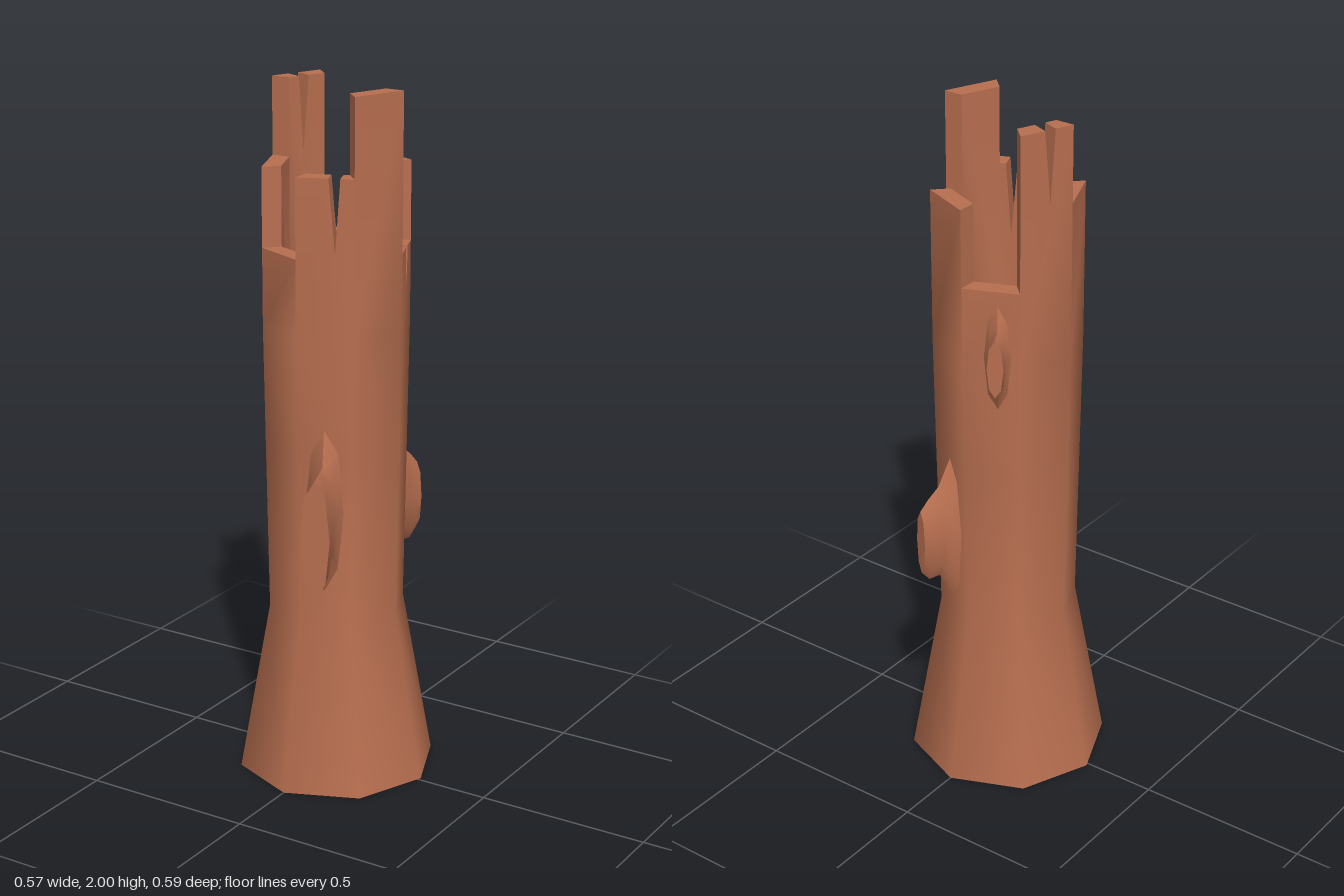
import * as THREE from 'three';
import { mergeGeometries, toCreasedNormals } from 'three/addons/utils/BufferGeometryUtils.js';

const SIDES = 8, STEP = (Math.PI * 2) / SIDES;
const R_OUT = 0.21, R_IN = 0.155, FLOOR = 1.33, CENTRE_Z = -0.01;

const plain = (geometry) => {
  const g = geometry.index ? geometry.toNonIndexed() : geometry;
  g.deleteAttribute('uv');
  return g;
};

// One upright slab of the broken rim, optionally split by a V-shaped crack
function rimPanel(k, top, crack) {
  const shape = new THREE.Shape();
  shape.moveTo(0, FLOOR);
  shape.lineTo(1, FLOOR);
  shape.lineTo(1, top);
  if (crack) {
    shape.lineTo(crack.at + 0.1, top);
    shape.lineTo(crack.at + 0.01, top - crack.depth);
    shape.lineTo(crack.at - 0.1, top);
  }
  shape.lineTo(0, top);
  shape.closePath();
  const g = plain(new THREE.ExtrudeGeometry(shape, { depth: 1, bevelEnabled: false }));
  // Bend the flat slab onto its side of the octagon
  const p = g.attributes.position;
  const a = k * STEP, b = a + STEP;
  for (let i = 0; i < p.count; i++) {
    const outer = p.getZ(i) > 0.5;
    const r = outer ? R_OUT : R_IN;
    let t = p.getX(i);
    if (!outer && t > 0.001 && t < 0.999) t = 0.5 + (t - 0.5) * (R_OUT / R_IN);
    p.setXYZ(i,
      r * THREE.MathUtils.lerp(Math.sin(a), Math.sin(b), t),
      p.getY(i),
      r * THREE.MathUtils.lerp(Math.cos(a), Math.cos(b), t));
  }
  return g;
}

// Branch stub lofted through tall ellipses: [x, z, yLow, yHigh, halfWidth], tip first
function branchStub(heading, sections) {
  const rows = sections.length - 1;
  const g = plain(new THREE.CylinderGeometry(1, 1, 1, 8, rows));
  const p = g.attributes.position;
  const c = Math.cos(heading), s = Math.sin(heading);
  for (let i = 0; i < p.count; i++) {
    const [x, z, low, high, w] = sections[Math.round((0.5 - p.getY(i)) * rows)];
    const side = p.getZ(i) * w;
    p.setXYZ(i, x + side * c, (low + high) / 2 + p.getX(i) * (high - low) / 2, z - side * s);
  }
  return toCreasedNormals(g, 1.0);
}

export function createModel() {
  const model = new THREE.Group();
  model.name = 'hollowStump';
  const bark = new THREE.MeshStandardMaterial({ color: 0xb86f50 });
  bark.name = 'bark brown';

  const add = (name, geometry) => {
    const mesh = new THREE.Mesh(geometry, bark);
    mesh.name = name;
    model.add(mesh);
  };

  // Flared trunk with the floor of the hollow
  const profile = [[0, 0], [0.287, 0], [0.197, 0.5], [0.205, 1], [R_OUT, FLOOR], [R_IN, FLOOR], [0, FLOOR]]
    .map(([r, y]) => new THREE.Vector2(r, y));
  const parts = [plain(new THREE.LatheGeometry(profile, SIDES))];

  // Broken rim, counted from the front towards +x
  const tops = [1.78, 2, 1.555, 1.78, 1.555, 2, 1.78, 1.555];
  const cracks = {
    0: { at: 0.66, depth: 0.21 },
    2: { at: 0.51, depth: 0.135 },
    5: { at: 0.56, depth: 0.21 },
  };
  tops.forEach((top, k) => parts.push(rimPanel(k, top, cracks[k])));
  parts.forEach((g) => g.deleteAttribute('normal'));
  const trunk = toCreasedNormals(mergeGeometries(parts), 0.9);
  trunk.translate(0, 0, CENTRE_Z);
  add('trunk', trunk);

  // Broken branch stubs
  add('frontStub', branchStub(0.29, [
    [0.112, 0.282, 0.62, 0.97, 0.042],
    [0.103, 0.245, 0.63, 0.98, 0.036],
    [0.088, 0.205, 0.68, 0.98, 0.036],
    [0.068, 0.165, 0.6, 1.08, 0.056],
  ]));
  add('backStub', branchStub(Math.PI - 0.42, [
    [0.107, -0.279, 0.66, 0.86, 0.024],
    [0.098, -0.255, 0.63, 0.89, 0.03],
    [0.088, -0.22, 0.63, 0.92, 0.034],
    [0.072, -0.18, 0.54, 1.01, 0.054],
  ]));
  add('upperBackStub', branchStub(Math.PI + 0.45, [
    [-0.122, -0.235, 1.27, 1.44, 0.023],
    [-0.112, -0.213, 1.27, 1.45, 0.021],
    [-0.102, -0.196, 1.25, 1.47, 0.026],
    [-0.085, -0.172, 1.18, 1.54, 0.045],
  ]));
  return model;
}
